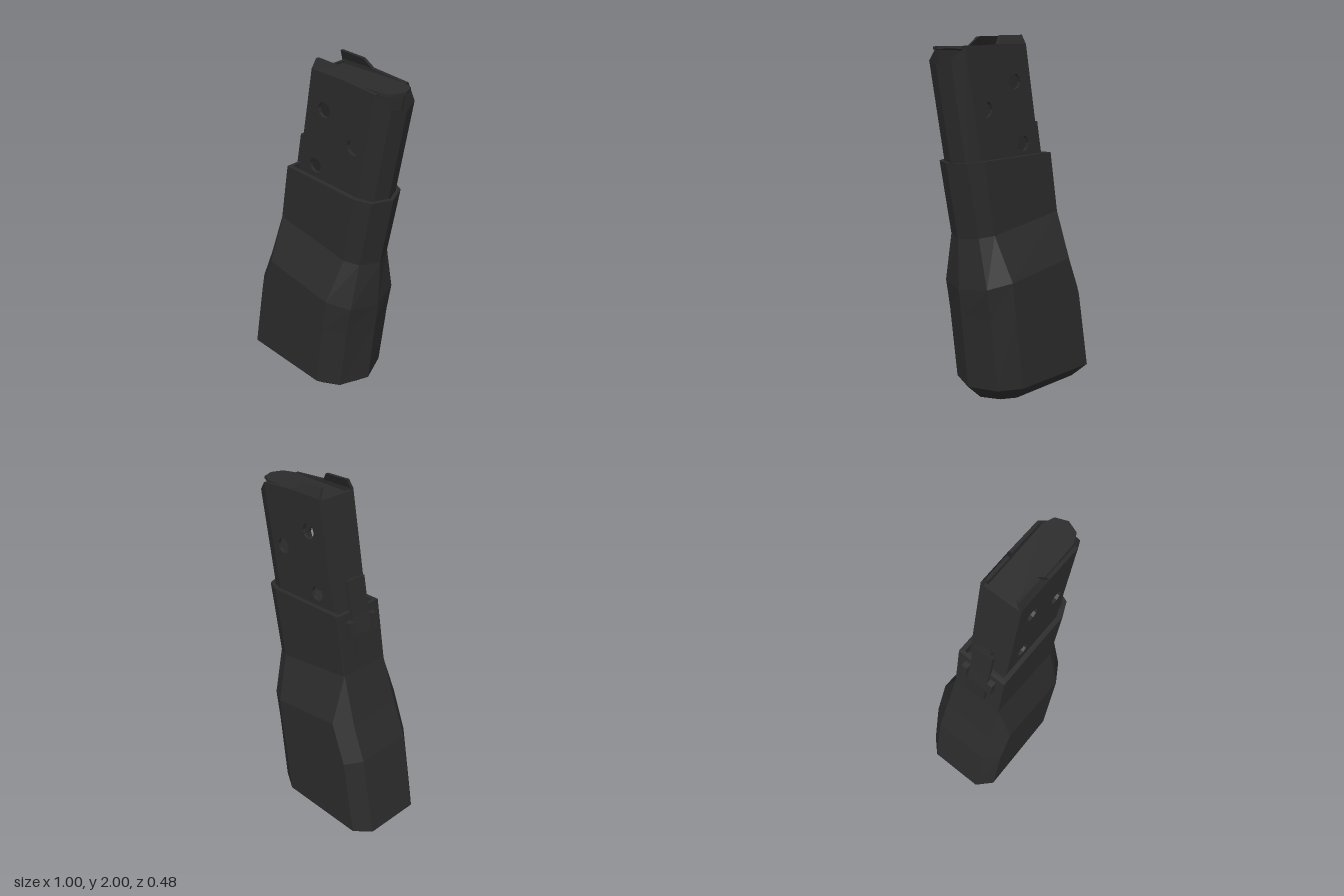
import * as THREE from 'three';

const black = new THREE.MeshStandardMaterial({ color: 0x2b2b2b, side: THREE.DoubleSide });
black.name = 'matte black';

function add(parent, name, geometry) {
  const mesh = new THREE.Mesh(geometry, black);
  mesh.name = name;
  parent.add(mesh);
  return mesh;
}

// Mirrors a half section (rear to front ridge, +z side) into a full section
function fullSection(half) {
  const mirrored = half.filter(p => p[2] > 0).reverse().map(([x, y, z]) => [x, y, -z]);
  return [...half, ...mirrored];
}

// Faceted skin through sections listed from bottom to top
function loft(sections, closed) {
  const pos = [];
  const tri = (a, b, c) => pos.push(...a, ...b, ...c);
  const n = sections[0].length;
  for (let s = 0; s + 1 < sections.length; s++) {
    const lo = sections[s], hi = sections[s + 1];
    for (let i = 0; i < (closed ? n : n - 1); i++) {
      const j = (i + 1) % n;
      tri(lo[i], lo[j], hi[j]);
      tri(lo[i], hi[j], hi[i]);
    }
  }
  if (closed) {
    const bottom = sections[0], top = sections[sections.length - 1];
    for (let i = 1; i < n - 1; i++) {
      tri(bottom[0], bottom[i + 1], bottom[i]);
      tri(top[0], top[i], top[i + 1]);
    }
  }
  const g = new THREE.BufferGeometry();
  g.setAttribute('position', new THREE.Float32BufferAttribute(pos, 3));
  g.computeVertexNormals();
  return g;
}

// Flat plate from an xy outline, spanning z0 to z1
function plate(points, z0, z1, holes = []) {
  const shape = new THREE.Shape(points.map(([x, y]) => new THREE.Vector2(x, y)));
  for (const [x, y] of holes) {
    shape.holes.push(new THREE.Path().absarc(x, y, 0.042, 0, Math.PI * 2, true));
  }
  const g = new THREE.ExtrudeGeometry(shape, { depth: z1 - z0, bevelEnabled: false, curveSegments: 5 });
  return g.translate(0, 0, z0);
}

export function createModel() {
  const model = new THREE.Group();
  model.name = 'magazine';

  // Grip sleeve: rear flat, rear side edge, front side edge, front flat, front ridge
  const sleeve = [
    [[-0.43, 0.02, 0.12], [-0.38, 0.018, 0.16], [0.08, 0.006, 0.16], [0.16, 0.004, 0.11], [0.21, 0, 0]],
    [[-0.5, 0.1, 0.163], [-0.42, 0.1, 0.242], [0.11, 0.09, 0.242], [0.235, 0.088, 0.17], [0.302, 0.085, 0]],
    [[-0.413, 0.56, 0.163], [-0.34, 0.54, 0.242], [0.165, 0.5, 0.242], [0.283, 0.5, 0.17], [0.344, 0.5, 0]],
    [[-0.333, 0.76, 0.16], [-0.25, 0.77, 0.242], [0.19, 0.7, 0.242], [0.31, 0.67, 0.17], [0.36, 0.65, 0]],
    [[-0.247, 1.03, 0.148], [-0.24, 1.03, 0.15], [0.235, 0.95, 0.15], [0.315, 0.94, 0.112], [0.363, 0.93, 0]],
    [[-0.19, 1.367, 0.148], [-0.183, 1.367, 0.15], [0.305, 1.348, 0.15], [0.39, 1.343, 0.112], [0.437, 1.34, 0]],
    // rim turns inward and down to a recessed floor
    [[-0.17, 1.367, 0.122], [-0.163, 1.367, 0.124], [0.3, 1.348, 0.124], [0.375, 1.343, 0.096], [0.415, 1.34, 0]],
    [[-0.182, 1.3, 0.122], [-0.175, 1.3, 0.124], [0.288, 1.28, 0.124], [0.363, 1.275, 0.096], [0.403, 1.27, 0]],
  ];
  add(model, 'gripSleeve', loft(sleeve.map(fullSection), true));

  // Inner tube: pierced side walls and inward leaning feed lips
  const tube = new THREE.Group();
  tube.name = 'innerTube';
  model.add(tube);
  const wall = [[-0.158, 1.2], [0.272, 1.2], [0.4, 1.927], [0.18, 1.945], [-0.024, 1.95]];
  const lip = [[-0.024, 1.95], [0.18, 1.945], [0.138, 1.993], [-0.015, 2]];
  const holes = [[0.06, 1.755], [0.26, 1.612], [-0.005, 1.425]];
  for (const side of [1, -1]) {
    const label = side > 0 ? 'left' : 'right';
    const inner = side > 0 ? 0.1 : -0.118;
    add(tube, label + 'Wall', plate(wall, inner, inner + 0.018, holes));
    const g = plate(lip, inner, inner + 0.018);
    const p = g.attributes.position;
    for (let i = 0; i < p.count; i++) {
      if (p.getY(i) > 1.96) p.setZ(i, p.getZ(i) - side * 0.022);
    }
    g.computeVertexNormals();
    add(tube, label + 'FeedLip', g);
  }

  // Tube front: chamfers and shallow centre ridge
  add(tube, 'tubeFront', loft([
    fullSection([[0.272, 1.2, 0.118], [0.354, 1.2, 0.085], [0.382, 1.2, 0]]),
    fullSection([[0.4, 1.927, 0.118], [0.47, 1.862, 0.085], [0.495, 1.84, 0]]),
  ], false));

  // Tube back
  add(tube, 'tubeBack', plate([[-0.158, 1.2], [-0.14, 1.2], [-0.009, 1.94], [-0.026, 1.94]], -0.105, 0.105));

  // Follower plate in the tube mouth, with a pointed nose
  const follower = plate([[-0.01, -0.09], [0.4, -0.09], [0.46, -0.065], [0.485, 0], [0.46, 0.065], [0.4, 0.09], [-0.01, 0.09]], 0, 0.014);
  follower.rotateX(-Math.PI / 2).translate(0, 1.917, 0);
  add(tube, 'follower', follower);

  // Rear catch: spring strip, hooked tip, lower pad and side rails
  const latch = new THREE.Group();
  latch.name = 'rearCatch';
  model.add(latch);
  add(latch, 'catchStrip', plate([[-0.172, 1.535], [-0.15, 1.53], [-0.165, 1.46], [-0.188, 1.33], [-0.21, 1.33]], -0.06, 0.06));
  add(latch, 'catchHook', plate([[-0.165, 1.532], [-0.135, 1.525], [-0.122, 1.482], [-0.14, 1.474], [-0.165, 1.478]], -0.028, 0.028));
  add(latch, 'catchPad', plate([[-0.257, 1.1], [-0.225, 1.1], [-0.18, 1.33], [-0.21, 1.34], [-0.237, 1.24]], -0.06, 0.06));
  for (const z of [-0.1, 0.065]) {
    add(latch, 'catchRail', plate([[-0.246, 1.24], [-0.2, 1.24], [-0.185, 1.325], [-0.23, 1.325]], z, z + 0.035));
  }
  return model;
}
